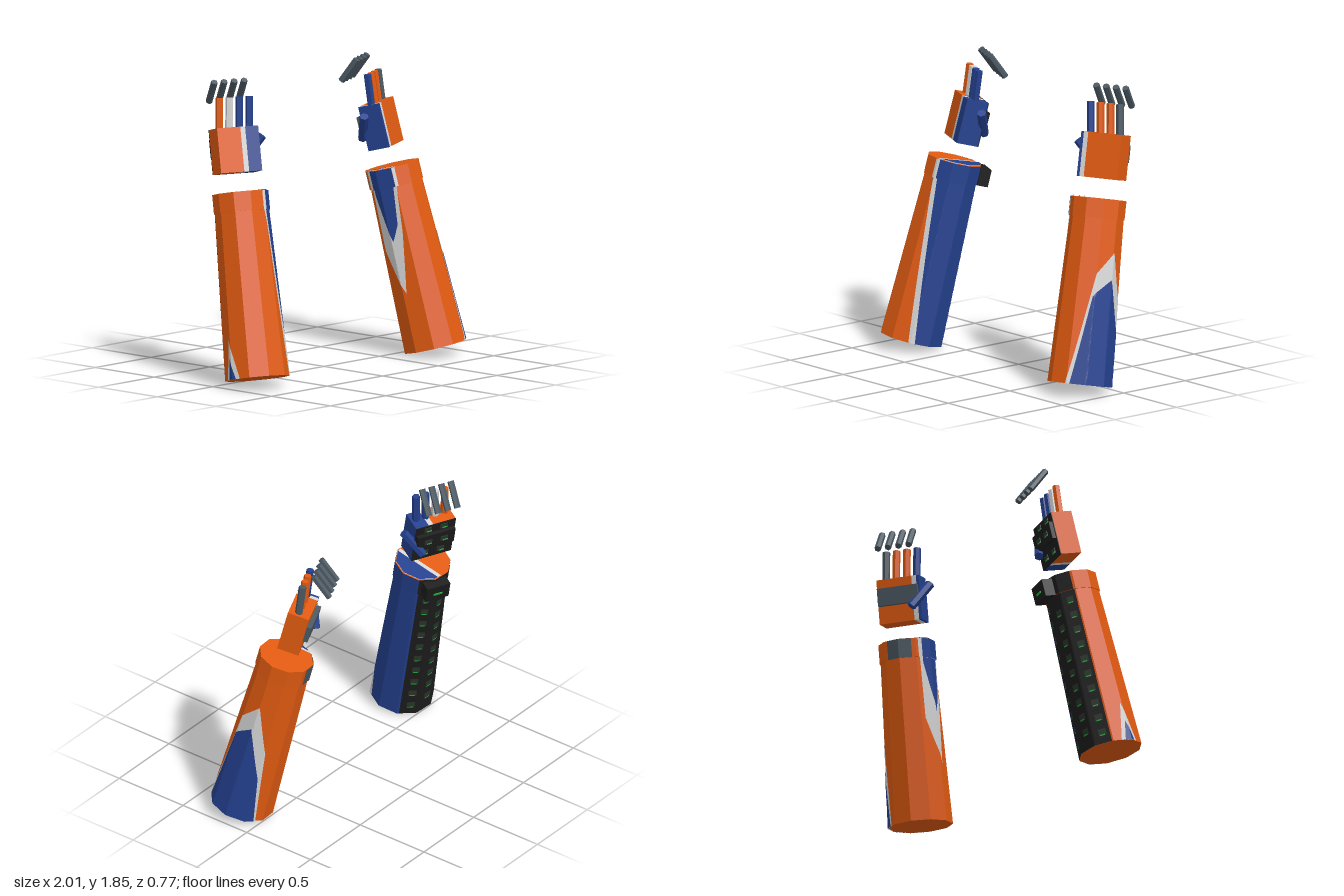
import * as THREE from 'three';

const SIDES = 10, STEP = Math.PI * 2 / SIDES, RAD = Math.PI / 180;
const LEN = 1.15, YAW = 0.424, TILT = 0.246;

const mat = (name, color) => {
  const m = new THREE.MeshStandardMaterial({ color, flatShading: true, side: THREE.DoubleSide });
  m.name = name;
  return m;
};

// piecewise linear lookup through [v, value] pairs with rising v
function along(pairs, v) {
  if (v <= pairs[0][0]) return pairs[0][1];
  for (let i = 1; i < pairs.length; i++) {
    const [v0, a0] = pairs[i - 1], [v1, a1] = pairs[i];
    if (v <= v1) return a0 + (a1 - a0) * (v - v0) / (v1 - v0);
  }
  return pairs[pairs.length - 1][1];
}

const sleeveR = v => 0.2 - 0.035 * v / LEN;
const cuffR = () => 0.174;

// distance to the flat-sided outline at an angle
function facetR(a, r) {
  const k = ((a % STEP) + STEP) % STEP - STEP / 2;
  return r * Math.cos(STEP / 2) / Math.cos(k);
}

// thin painted area wrapped on a ten-sided tube, between two angle edges (degrees)
function wrap(s, lo, hi, v0, v1, radius, lift, nu = 36, nv = 24) {
  const pos = [], idx = [];
  for (let j = 0; j <= nv; j++) {
    const v = v0 + (v1 - v0) * j / nv;
    const a0 = along(lo, v), a1 = along(hi, v);
    for (let i = 0; i <= nu; i++) {
      const a = (a0 + (a1 - a0) * i / nu) * RAD;
      const r = facetR(a, radius(v) + lift);
      pos.push(s * r * Math.sin(a), v, r * Math.cos(a));
    }
  }
  for (let j = 0; j < nv; j++) for (let i = 0; i < nu; i++) {
    const a = j * (nu + 1) + i, b = a + 1, c = a + nu + 1, d = c + 1;
    if (s > 0) idx.push(a, b, d, a, d, c);
    else idx.push(a, d, b, a, c, d);
  }
  const g = new THREE.BufferGeometry();
  g.setAttribute('position', new THREE.Float32BufferAttribute(pos, 3));
  g.setIndex(idx);
  g.computeVertexNormals();
  return g;
}

// painted segment of the cuff's top face
function capSegment(s, a0, a1, y) {
  const pts = [];
  for (let i = 0; i <= 24; i++) {
    const a = (a0 + (a1 - a0) * i / 24) * RAD, r = facetR(a, 0.17);
    pts.push(new THREE.Vector2(s * r * Math.sin(a), -r * Math.cos(a)));
  }
  return new THREE.ShapeGeometry(new THREE.Shape(pts)).rotateX(-Math.PI / 2).translate(0, y, 0);
}

// six-sided rod between two points
function rod(p, q, r) {
  const a = new THREE.Vector3(...p), b = new THREE.Vector3(...q), d = b.clone().sub(a);
  const g = new THREE.CylinderGeometry(r, r, d.length(), 6);
  g.applyQuaternion(new THREE.Quaternion().setFromUnitVectors(new THREE.Vector3(0, 1, 0), d.normalize()));
  return g.translate((p[0] + q[0]) / 2, (p[1] + q[1]) / 2, (p[2] + q[2]) / 2);
}

export function createModel() {
  const model = new THREE.Group();
  const orange = mat('orange', 0xe25b11), blue = mat('blue', 0x24418f), white = mat('white', 0xd6d6d6);
  const slate = mat('slate', 0x4c5963), black = mat('black', 0x1d1d1d);
  const green = mat('green', 0x22b53c), moss = mat('dark green', 0x2b372c);
  const flat = a => [[0, a]];

  // s = 1 is the arm at -x, s = -1 the arm at +x; u runs towards the thumb
  for (const s of [1, -1]) {
    const circuit = s === 1;
    const root = new THREE.Group();
    root.name = circuit ? 'rightArm' : 'leftArm';
    root.position.set(-s * 0.8, 0.05, 0.19);
    root.rotation.y = -s * YAW;
    const arm = new THREE.Group();
    arm.name = 'forearmAndPalm';
    arm.rotation.x = -TILT;
    root.add(arm);
    model.add(root);
    const add = (parent, name, geo, m) => {
      const mesh = new THREE.Mesh(geo, m);
      mesh.name = name;
      parent.add(mesh);
    };
    const box = (name, u0, u1, y, h, z, d, m) =>
      add(arm, name, new THREE.BoxGeometry(u1 - u0, h, d).translate(s * (u0 + u1) / 2, y, z), m);
    const paint = (name, lo, hi, v0, v1, lift, m) =>
      add(arm, name, wrap(s, lo, hi, v0, v1, sleeveR, lift), m);
    const paintCuff = (name, a0, a1, lift, m) =>
      add(arm, name, wrap(s, flat(a0), flat(a1), 1.035, 1.155, cuffR, lift, 36, 1), m);

    // forearm sleeve and cuff
    add(arm, 'sleeve', new THREE.CylinderGeometry(0.165, 0.2, LEN, SIDES).translate(0, LEN / 2, 0), orange);
    add(arm, 'cuff', new THREE.CylinderGeometry(0.174, 0.174, 0.12, SIDES).translate(0, 1.095, 0), orange);

    if (circuit) {
      // stripe, blue inner side and circuit panel
      const edge = [[0, 80], [LEN, 39]];
      paint('sleeveStripe', [[0, 68], [LEN, 30]], edge, 0, 1.04, 0.003, white);
      paint('sleeveInnerSide', edge, flat(148), 0, 1.04, 0.003, blue);
      paint('circuitPanel', flat(148), flat(249), 0, 1.04, 0.003, black);
      paintCuff('cuffStripe', 31, 41, 0.003, white);
      paintCuff('cuffInnerSide', 41, 146, 0.003, blue);
      paintCuff('cuffPanel', 146, 247, 0.003, black);
      add(arm, 'cuffTopStripe', capSegment(s, 31, 197, 1.158), white);
      add(arm, 'cuffTopBlue', capSegment(s, 41, 187, 1.161), blue);
      // small outer wedge
      paint('outerWedgeBorder', [[0, 268], [0.25, 284]], [[0, 304], [0.25, 284]], 0, 0.25, 0.003, white);
      paint('outerWedge', [[0, 276], [0.13, 284]], [[0, 296], [0.13, 284]], 0, 0.13, 0.005, blue);
      // chips and lights on the panel
      for (let row = 0; row < 10; row++) for (const [k, a] of [160, 195, 228].entries()) {
        const v = 0.05 + row * 0.1 + (k % 2) * 0.04;
        if (v > 0.98) continue;
        add(arm, 'chip', wrap(s, flat(a), flat(a + 15), v, v + 0.045, sleeveR, 0.005, 4, 1), moss);
        add(arm, 'chipLight', wrap(s, flat(a + 2), flat(a + 12), v, v + 0.008, sleeveR, 0.007, 4, 1), green);
      }
      box('wristBlock', -0.08, 0.08, 1.087, 0.11, -0.19, 0.07, black);
      box('wristBlockLight', -0.03, 0.03, 1.08, 0.012, -0.227, 0.006, green);
    } else {
      // large outer wedge
      paint('outerWedgeBorder', [[0, 231], [0.52, 250], [0.83, 287]],
        [[0, 362], [0.695, 324], [0.83, 287]], 0, 0.83, 0.003, white);
      paint('outerWedge', [[0, 235], [0.33, 251], [0.66, 290]],
        [[0, 354], [0.56, 327], [0.66, 290]], 0, 0.66, 0.006, blue);
      // inner wedge hanging from the cuff
      paint('innerWedgeBorder', [[0.37, 101], [0.75, 80], [LEN, 67]],
        [[0.37, 101], [0.65, 135]], 0.37, 1.04, 0.003, white);
      paint('innerWedge', [[0.7, 104], [0.8, 87], [LEN, 73]],
        [[0.7, 104], [1.0, 128]], 0.7, 1.04, 0.006, blue);
      paintCuff('cuffInnerBorder', 66, 138, 0.002, white);
      paintCuff('cuffInnerSide', 73, 129, 0.005, blue);
      paintCuff('wristPlate', 153, 207, 0.004, slate);
      add(arm, 'cuffTopBorder', capSegment(s, 60, 144, 1.158), white);
      add(arm, 'cuffTopBlue', capSegment(s, 70, 134, 1.161), blue);
    }

    // palm in coloured slices, with a pad on its inside
    const cuts = circuit ? [0.018, 0.05] : [0.09, 0.12];
    box('palm', -0.1375, cuts[0], 1.42, 0.28, -0.01, 0.138, orange);
    box('palmStripe', cuts[0], cuts[1], 1.42, 0.28, -0.01, 0.138, white);
    box('palmThumbSide', cuts[1], 0.1375, 1.42, 0.28, -0.01, 0.138, blue);
    box('palmPad', -0.13, 0.13, 1.445, 0.11, -0.094, 0.03, circuit ? black : slate);
    if (circuit) {
      box('palmPanel', -0.1375, 0.1375, 1.42, 0.28, -0.081, 0.006, black);
      for (const u of [-0.08, 0.03]) for (const y of [1.33, 1.445, 1.53]) {
        const z = y === 1.445 ? -0.111 : -0.086;
        box('palmChip', u, u + 0.05, y, 0.035, z, 0.005, moss);
        box('palmLight', u, u + 0.035, y - 0.012, 0.008, z - 0.003, 0.005, green);
      }
    }

    // fingers: upright lower segment and a separate curled upper one
    const hand = new THREE.Group();
    hand.name = 'fingers';
    root.add(hand);
    const lower = circuit ? [orange, white, blue, blue] : [slate, orange, orange, blue];
    [-0.1, -0.034, 0.034, 0.1].forEach((u, i) => {
      add(hand, 'lowerFinger', rod([s * u, 1.48, -0.379], [s * (u + 0.012), 1.7, -0.405], 0.024), lower[i]);
      add(hand, 'upperFinger', rod([s * (u + 0.008), 1.79, -0.475], [s * (u + 0.012), 1.65, -0.575], 0.021), slate);
    });
    add(hand, 'thumb', rod([s * 0.087, 1.29, -0.445], [s * 0.195, 1.45, -0.397], 0.029), blue);
  }
  return model;
}
